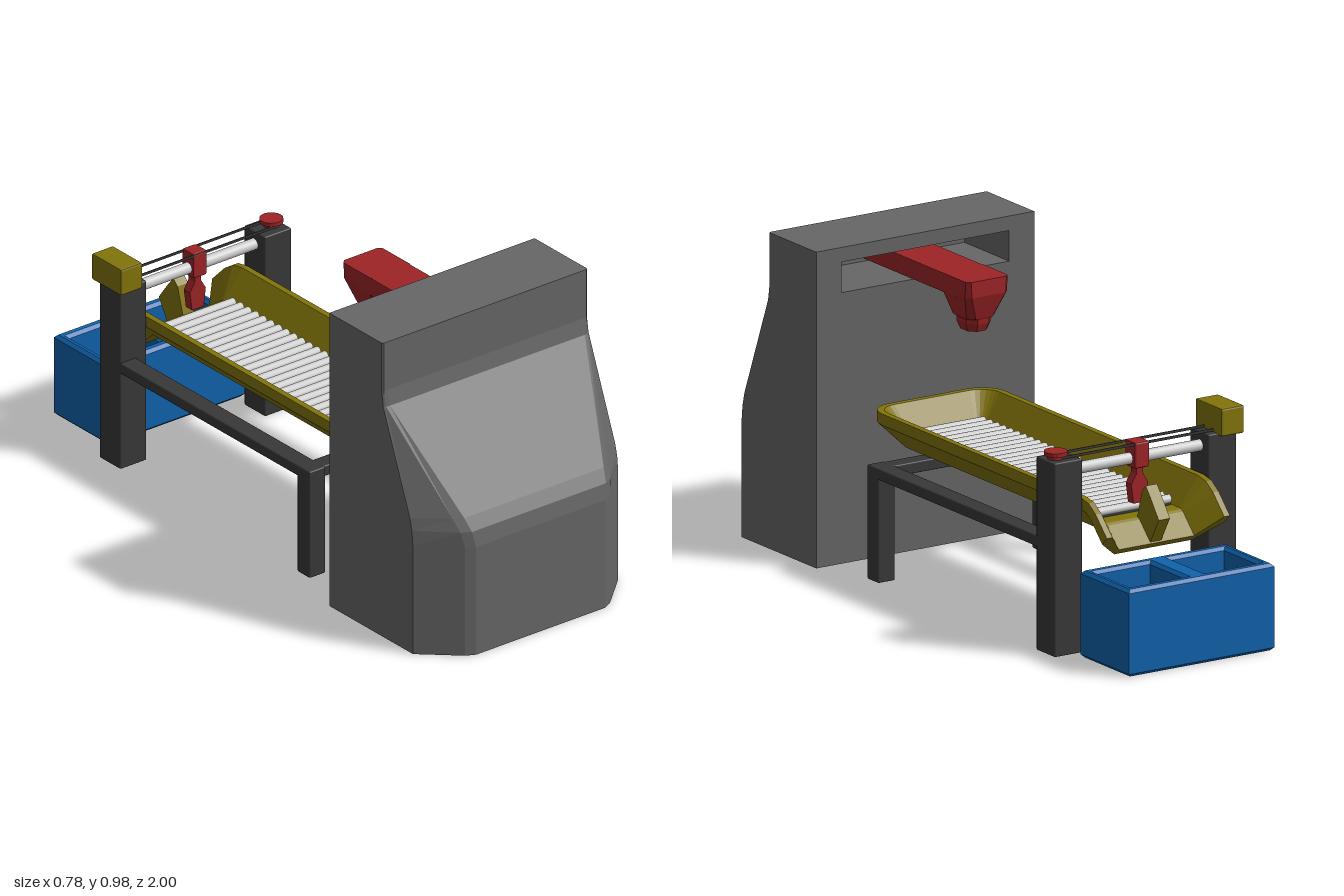
import * as THREE from 'three';
import { RoundedBoxGeometry } from 'three/addons/geometries/RoundedBoxGeometry.js';

const paint = (color, opts = {}) => new THREE.MeshStandardMaterial({ color, ...opts });

export function createModel() {
  const model = new THREE.Group();
  const grey = paint(0x666666, { flatShading: true });
  const dark = paint(0x383838);
  const yellow = paint(0x827409, { flatShading: true, side: THREE.DoubleSide });
  const red = paint(0x9c2426, { flatShading: true });
  const blue = paint(0x0f62ac, { flatShading: true });
  const steel = paint(0xcccccc);

  function add(name, geometry, material, x = 0, y = 0, z = 0) {
    const mesh = new THREE.Mesh(geometry, material);
    mesh.name = name;
    mesh.position.set(x, y, z);
    model.add(mesh);
    return mesh;
  }
  // Edge-softened box given by its min and max on each axis
  function block(name, material, [x0, x1], [y0, y1], [z0, z1], r = 0.004) {
    return add(name, new RoundedBoxGeometry(x1 - x0, y1 - y0, z1 - z0, 1, r), material,
      (x0 + x1) / 2, (y0 + y1) / 2, (z0 + z1) / 2);
  }
  // Surface through rows of [x, y, z] points; closed rows also get end caps
  function skin(rows, closed, extraQuads = []) {
    const n = rows[0].length, pos = [];
    const tri = (...p) => p.forEach((q) => pos.push(...q));
    const quad = (a, b, c, d) => { tri(a, b, c); tri(a, c, d); };
    for (let i = 0; i < rows.length - 1; i++)
      for (let j = 0; j < (closed ? n : n - 1); j++) {
        const k = (j + 1) % n;
        quad(rows[i][j], rows[i][k], rows[i + 1][k], rows[i + 1][j]);
      }
    if (closed) {
      const lo = rows[0], hi = rows[rows.length - 1];
      for (let j = 1; j < n - 1; j++) {
        tri(lo[0], lo[j + 1], lo[j]);
        tri(hi[0], hi[j], hi[j + 1]);
      }
    }
    extraQuads.forEach((q) => quad(...q));
    const g = new THREE.BufferGeometry();
    g.setAttribute('position', new THREE.Float32BufferAttribute(pos, 3));
    g.computeVertexNormals();
    return g;
  }
  const polygon = (pts) => new THREE.Shape(pts.map(([x, y]) => new THREE.Vector2(x, y)));
  const rect = (x0, x1, y0, y1) => polygon([[x0, y0], [x1, y0], [x1, y1], [x0, y1]]);

  // Cabinet: rear block with a deep slot for the arm
  const rear = rect(-0.39, 0.39, 0, 0.98);
  rear.holes.push(rect(-0.3, 0.3, 0.84, 0.935));
  add('cabinetRear', new THREE.ExtrudeGeometry(rear, { depth: 0.24, bevelEnabled: false }), grey, 0, 0, 0.48);

  // Cabinet: sloping front with chamfered corners [y, front x, front z, mid x, mid z, side z]
  const levels = [
    [0, 0.245, 1, 0.275, 0.985, 0.88],
    [0.36, 0.245, 1, 0.275, 0.985, 0.88],
    [0.41, 0.255, 0.992, 0.285, 0.975, 0.875],
    [0.45, 0.265, 0.968, 0.295, 0.95, 0.865],
    [0.77, 0.37, 0.745, 0.383, 0.742, 0.738],
    [0.82, 0.375, 0.735, 0.385, 0.735, 0.73],
    [0.98, 0.375, 0.735, 0.385, 0.735, 0.73],
  ];
  add('cabinetFront', skin(levels.map(([y, xf, zf, xm, zm, zs]) => {
    const half = [[0.39, y, 0.72], [0.39, y, zs], [xm, y, zm], [xf, y, zf]];
    return [...half.map(([x, h, z]) => [-x, h, z]), ...half.reverse()];
  }), true), grey);

  // Overhead arm with tapered head and nozzle
  block('arm', red, [-0.075, 0.075], [0.855, 0.915], [0.2, 0.72]);
  const head = [
    [0.745, 0.035, 0.18, 0.26, 0.02], [0.77, 0.045, 0.17, 0.27, 0.025],
    [0.785, 0.045, 0.168, 0.27, 0.025], [0.79, 0.05, 0.165, 0.278, 0.02],
    [0.865, 0.075, 0.14, 0.292, 0.015], [0.915, 0.075, 0.14, 0.292, 0.012],
  ];
  add('armHead', skin(head.map(([y, w, z0, z1, c]) => [
    [-w + c, y, z0], [-w, y, z0 + c], [-w, y, z1 - c], [-w + c, y, z1],
    [w - c, y, z1], [w, y, z1 - c], [w, y, z0 + c], [w - c, y, z0],
  ]), true), red);

  // Tray: U-shaped loops open to the rear, where the end bends down into a chute
  const chute = [[0.085, 45], [0, 45], [0, 22], [0, 0]];
  function trayLoop(w, y, front, r) {
    const side = chute.map(([len, deg]) => {
      const a = THREE.MathUtils.degToRad(deg), h = y - 0.36;
      return [w, 0.36 + h * Math.cos(a) - len * Math.sin(a), -0.68 - len * Math.cos(a) - h * Math.sin(a)];
    });
    for (let i = 0; i <= 6; i++) {
      const a = (i / 6) * Math.PI / 2;
      side.push([Math.max(0, w - r) + Math.min(r, w) * Math.cos(a), y, front - r + r * Math.sin(a)]);
    }
    return [...side, ...side.map(([x, h, z]) => [-x, h, z]).reverse()];
  }
  const tray = [
    trayLoop(0, 0.36, 0.4, 0.03), trayLoop(0.14, 0.36, 0.4, 0.03),
    trayLoop(0.22, 0.44, 0.465, 0.08), trayLoop(0.22, 0.475, 0.465, 0.08),
    trayLoop(0.2, 0.475, 0.445, 0.065), trayLoop(0.135, 0.385, 0.38, 0.02),
    trayLoop(0, 0.385, 0.38, 0.02),
  ];
  const lips = [];
  for (const j of [0, tray[0].length - 1]) {
    const p = tray.map((row) => row[j]);
    lips.push([p[0], p[1], p[5], p[6]], [p[1], p[2], p[4], p[5]], [p[2], p[3], p[4], p[4]]);
  }
  add('tray', skin(tray, false, lips), yellow);

  // Divider fin on the chute
  const fin = polygon([[0.68, 0.37], [0.71, 0.47], [0.73, 0.49], [0.755, 0.46], [0.8, 0.4], [0.75, 0.315]]);
  const finGeo = new THREE.ExtrudeGeometry(fin, { depth: 0.04, bevelEnabled: false });
  finGeo.translate(0, 0, -0.02).rotateY(Math.PI / 2);
  add('chuteDivider', finGeo, yellow);

  // Roller bed
  block('rollerBed', dark, [-0.13, 0.13], [0.38, 0.392], [-0.64, 0.37], 0.002);
  const roller = new THREE.CylinderGeometry(0.014, 0.014, 0.26, 12).rotateZ(Math.PI / 2);
  for (let i = 0; i < 28; i++) add('roller', roller, steel, 0, 0.402, 0.36 - i * 0.0367);

  // Frame: legs, rails and tall rear posts, mirrored
  for (const s of [-1, 1]) {
    const span = (a, b) => (s > 0 ? [a, b] : [-b, -a]);
    block('frontLeg', dark, span(0.265, 0.325), [0, 0.355], [0.245, 0.305]);
    block('sideRail', dark, span(0.265, 0.325), [0.32, 0.355], [-0.62, 0.3]);
    block('rearPost', dark, span(0.225, 0.325), [0, 0.6], [-0.7, -0.6]);
  }
  block('frontCrossbar', dark, [-0.3, 0.3], [0.32, 0.355], [0.245, 0.3]);

  // Sorting drive: motor, pulley, rod and belt
  block('motor', yellow, [-0.34, -0.258], [0.593, 0.68], [-0.72, -0.578], 0.006);
  add('pulley', new THREE.CylinderGeometry(0.036, 0.036, 0.012, 16), red, 0.29, 0.618, -0.652);
  add('pulleyHub', new THREE.CylinderGeometry(0.025, 0.025, 0.02, 16), red, 0.29, 0.605, -0.652);
  add('guideRod', new THREE.CylinderGeometry(0.018, 0.018, 0.56, 16).rotateZ(Math.PI / 2), steel, 0, 0.558, -0.652);
  for (const dz of [-0.024, 0.024])
    add('belt', new THREE.BoxGeometry(0.56, 0.008, 0.003), dark, 0.01, 0.606, -0.652 + dz);

  // Sliding pusher
  block('pusherCarriage', red, [-0.026, 0.026], [0.53, 0.612], [-0.682, -0.626], 0.006);
  const paddle = polygon([[-0.012, 0.54], [-0.012, 0.51], [-0.03, 0.48], [-0.022, 0.42],
    [0.022, 0.42], [0.03, 0.48], [0.012, 0.51], [0.012, 0.54]]);
  add('pusherPaddle', new THREE.ExtrudeGeometry(paddle, { depth: 0.03, bevelEnabled: false }), red, 0, 0, -0.668);

  // Two-compartment bin
  const bevel = 0.01;
  const bin = rect(-0.26 + bevel, 0.26 - bevel, 0.74 + bevel, 1 - bevel);
  bin.holes.push(rect(-0.24, -0.025, 0.765, 0.975), rect(0.025, 0.24, 0.765, 0.975));
  const binGeo = new THREE.ExtrudeGeometry(bin, {
    depth: 0.27 - 2 * bevel, bevelThickness: bevel, bevelSize: bevel, bevelSegments: 1,
  });
  add('bin', binGeo.rotateX(-Math.PI / 2), blue, 0, bevel, 0);
  add('binFloor', new THREE.BoxGeometry(0.5, 0.02, 0.24), blue, 0, 0.011, -0.87);

  return model;
}
